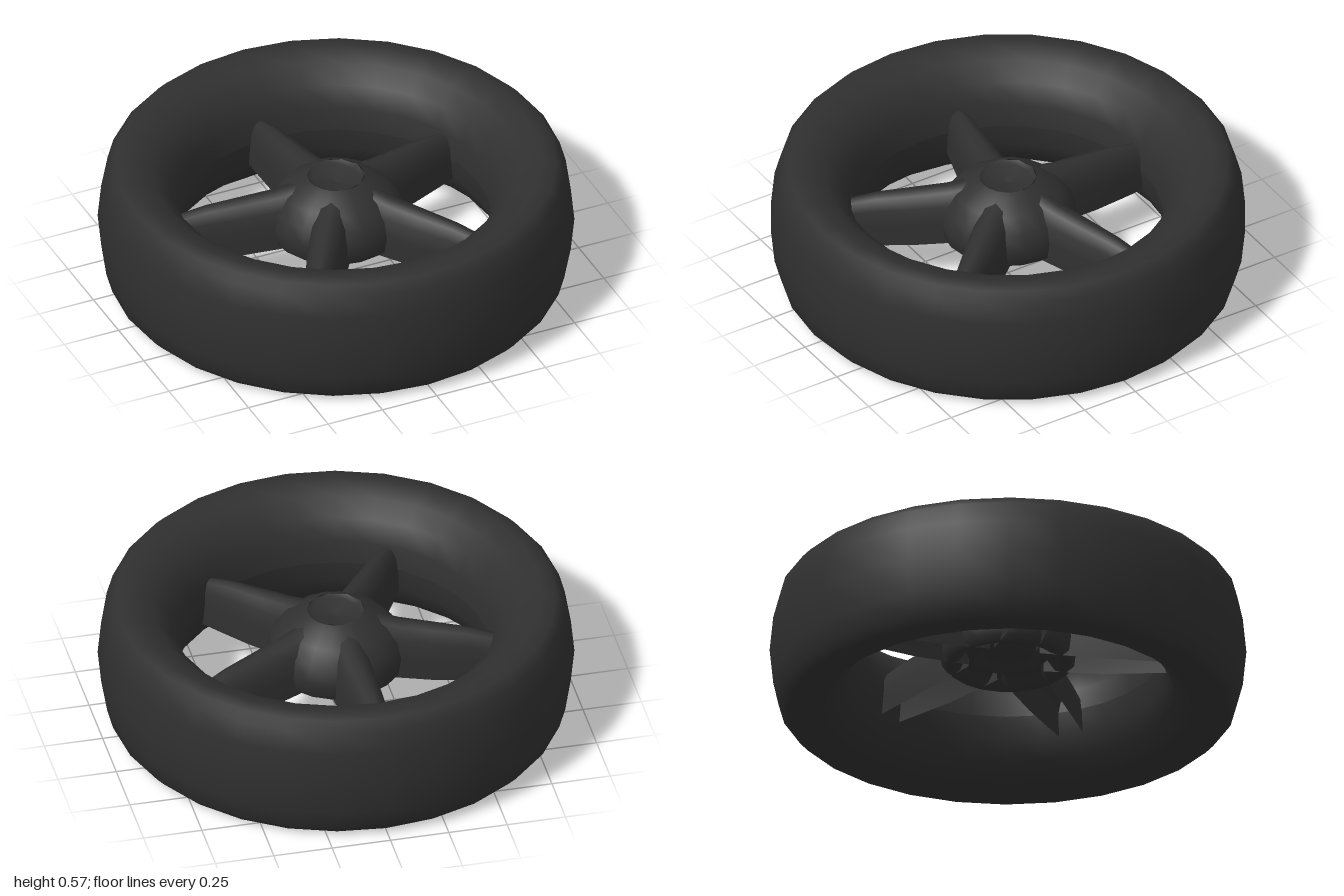
import * as THREE from 'three';

const material = new THREE.MeshStandardMaterial({ color: 0x303030, side: THREE.DoubleSide });
const MID = 0.288; // height of the wheel's middle plane

function lathe(name, points, segments) {
  const mesh = new THREE.Mesh(
    new THREE.LatheGeometry(points.map(([r, y]) => new THREE.Vector2(r, y)), segments), material);
  mesh.name = name;
  return mesh;
}

// Tyre: half profile (radius, distance below the middle), mirrored to a closed loop
function tyre() {
  const half = [[0.65, 0], [0.66, 0.1], [0.7, 0.19], [0.77, 0.255], [0.86, 0.286],
    [0.92, 0.278], [0.955, 0.24], [0.98, 0.15], [0.995, 0]];
  const lower = half.map(([r, d]) => [r, MID - d]);
  const upper = half.slice(0, -1).reverse().map(([r, d]) => [r, MID + d]);
  return lathe('tyre', [...lower, ...upper], 28);
}

// Hub: domed outside, shallow dish on top, stepped recess underneath
function hub() {
  const group = new THREE.Group();
  group.name = 'hub';
  group.add(lathe('hubBody', [[0, 0.31], [0.09, 0.3], [0.12, 0.25], [0.15, 0.25], [0.18, 0.28],
    [0.21, 0.23], [0.25, 0.215], [0.28, 0.24], [0.288, 0.31], [0.27, 0.38], [0.22, 0.44],
    [0.15, 0.485], [0.12, 0.5]], 20));
  group.add(lathe('hubCap', [[0.12, 0.5], [0.1, 0.487], [0, 0.465]], 10));
  return group;
}

// Spoke: hollow arched channel, open below, lofted along +x
function spokeGeometry() {
  // radius, half width, top, bottom
  const stations = [[0.14, 0.09, 0.48, 0.23], [0.26, 0.085, 0.45, 0.215], [0.4, 0.078, 0.43, 0.2],
    [0.55, 0.065, 0.41, 0.19], [0.69, 0.05, 0.375, 0.18]];
  // arch across the spoke: sideways share, height share
  const arch = [[1, 0], [0.97, 0.45], [0.82, 0.75], [0.45, 0.95], [0, 1],
    [-0.45, 0.95], [-0.82, 0.75], [-0.97, 0.45], [-1, 0]];
  const positions = [], index = [], n = arch.length;
  stations.forEach(([r, w, top, bottom], i) => {
    arch.forEach(([s, h], j) => {
      positions.push(r, bottom + (top - bottom) * h, s * w);
      if (i && j) {
        const d = i * n + j, c = d - 1, b = d - n, a = b - 1;
        index.push(a, c, b, b, c, d);
      }
    });
  });
  const geometry = new THREE.BufferGeometry();
  geometry.setAttribute('position', new THREE.Float32BufferAttribute(positions, 3));
  geometry.setIndex(index);
  geometry.computeVertexNormals();
  return geometry;
}

export function createModel() {
  const model = new THREE.Group();
  model.name = 'wheel';
  model.add(tyre(), hub());

  // Five evenly spaced spokes
  const geometry = spokeGeometry();
  for (let i = 0; i < 5; i++) {
    const spoke = new THREE.Mesh(geometry, material);
    spoke.name = `spoke${i + 1}`;
    spoke.rotation.y = THREE.MathUtils.degToRad(94 - 72 * i);
    model.add(spoke);
  }
  return model;
}
